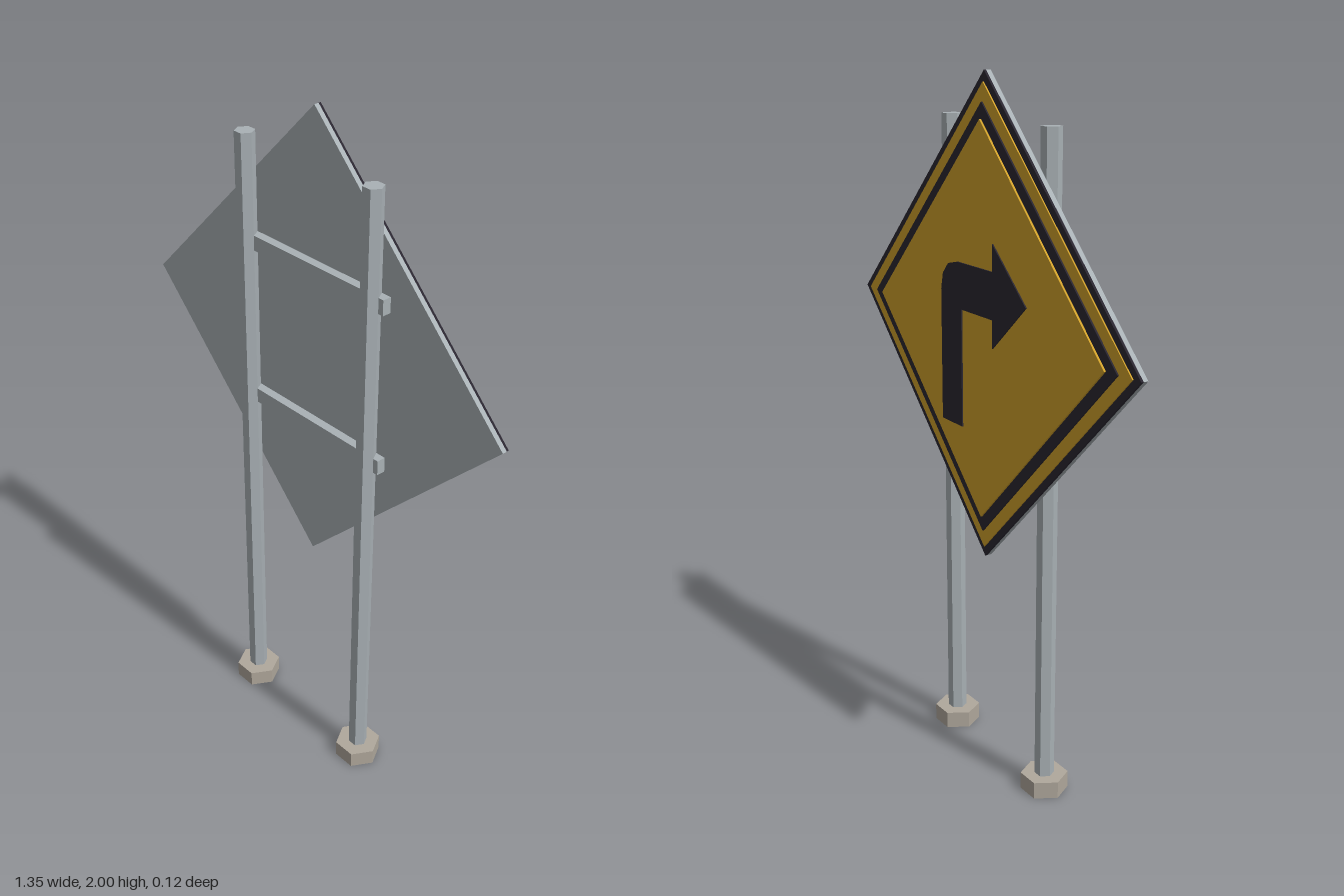
import * as THREE from 'three';

const material = (color) => new THREE.MeshStandardMaterial({ color, flatShading: true });

export function createModel() {
  const sign = new THREE.Group();
  sign.name = 'roadSign';
  const metal = material(0xa9b1b5);
  const concrete = material(0xb0a89c);
  const yellow = material(0xd0a02a);
  const black = material(0x2a2630);

  const add = (name, geometry, mat, x, y, z) => {
    const mesh = new THREE.Mesh(geometry, mat);
    mesh.name = name;
    mesh.position.set(x, y, z);
    sign.add(mesh);
    return mesh;
  };

  // Hexagonal prism with two corners pointing along x
  const hexPrism = (radius, height) =>
    new THREE.CylinderGeometry(radius, radius, height, 6).rotateY(Math.PI / 6);

  // Posts and footings
  for (const [side, x] of [['left', 0.238], ['right', -0.238]]) {
    add(side + 'Post', hexPrism(0.028, 1.825), metal, x, 0.9625, 0);
    add(side + 'Footing', hexPrism(0.068, 0.05), concrete, x, 0.025, 0);
  }

  // Cross rails joining the posts to the panel
  add('upperRail', new THREE.BoxGeometry(0.565, 0.044, 0.028), metal, 0, 1.568, -0.014);
  add('lowerRail', new THREE.BoxGeometry(0.565, 0.044, 0.028), metal, 0, 1.092, -0.014);

  // Diamond plates stacked towards the back: name, half diagonal, near z, far z
  const centreY = 1.326;
  const plates = [
    ['backPanel', 0.674, -0.026, -0.04, metal],
    ['outerBorder', 0.674, -0.04, -0.047, black],
    ['outerField', 0.645, -0.047, -0.051, yellow],
    ['innerBorder', 0.595, -0.051, -0.056, black],
    ['innerField', 0.551, -0.056, -0.062, yellow],
  ];
  for (const [name, half, near, far, mat] of plates) {
    const edge = half * Math.SQRT2;
    const plate = add(name, new THREE.BoxGeometry(edge, edge, near - far), mat, 0, centreY, (near + far) / 2);
    plate.rotation.z = Math.PI / 4;
  }

  // Turn arrow with a rounded outer bend
  const outline = [
    [0.195, 1.02], [0.195, 1.4], [0.185, 1.446], [0.157, 1.477], [0.11, 1.488],
    [-0.067, 1.488], [-0.067, 1.562], [-0.224, 1.42], [-0.067, 1.28], [-0.067, 1.358],
    [0.09, 1.358], [0.09, 1.02],
  ].map(([x, y]) => new THREE.Vector2(x, y));
  const arrow = new THREE.ExtrudeGeometry(new THREE.Shape(outline), { depth: 0.005, bevelEnabled: false });
  add('turnArrow', arrow, black, 0, 0, -0.066);

  return sign;
}
